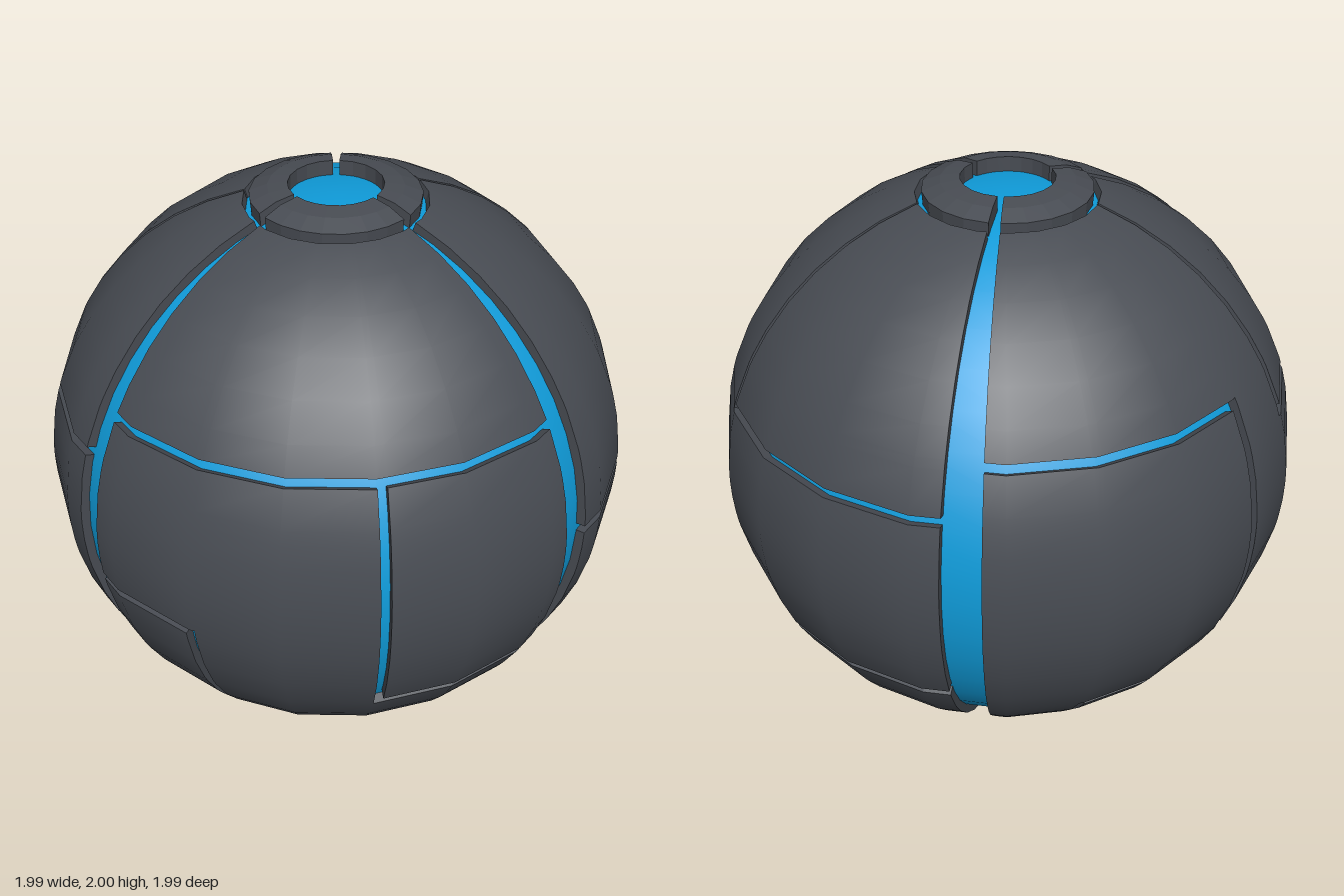
import * as THREE from 'three';

const R = 0.993, INNER = 0.955, STEP = 18;
const rad = THREE.MathUtils.degToRad;
const dark = new THREE.MeshStandardMaterial({ color: 0x484c53 });
const darkFlat = new THREE.MeshStandardMaterial({ color: 0x484c53, flatShading: true, side: THREE.DoubleSide });
const blue = new THREE.MeshStandardMaterial({ color: 0x0f9bd9 });

// Azimuth runs from +x towards +z, in degrees; the shell covers -60..300.
const TOP = 1.946, BOTTOM = 0.033;
const wide = [[60, 67], [168, 174.3], [292.3, 300]];
// Horizontal grooves: from azimuth, to azimuth, height
const level = [
  [-60, 1.7, 1.3], [16.3, 60, 1.022], [-60, 18, 0.565],
  [67, 168, 1.465], [67, 108, 0.567], [143, 168, 0.865],
  [174.3, 217, 1.3], [233, 292.3, 1.465], [174.3, 235, 0.565], [174.3, 271, 0.435],
];
// Upright grooves: from azimuth, to azimuth, low, high
const upright = [
  [0, 1.7, 1.3, TOP], [16.3, 18, BOTTOM, 1.022], [106, 108, 0.567, 1.465],
  [143, 145, BOTTOM, 0.865], [215.2, 217, 1.3, TOP], [233, 235, 0.565, 1.465],
  [269, 271, BOTTOM, 0.435],
];
const grooves = [
  ...wide.map(([a, b]) => [a, b, BOTTOM, TOP]),
  ...level.map(([a, b, y]) => [a, b, y - 0.014, y + 0.014]),
  ...upright.map(([a, b, lo, hi]) => [a, b, lo - (lo > BOTTOM ? 0.014 : 0), hi + (hi < TOP ? 0.014 : 0)]),
];

const sorted = (list) => [...new Set(list)].sort((a, b) => a - b);

// Point on a ball with a twenty-sided plan
function point(az, y) {
  const h = y - 1;
  const side = ((az % STEP) + STEP) % STEP - STEP / 2;
  const r = Math.sqrt(R * R - h * h) * Math.cos(rad(STEP / 2)) / Math.cos(rad(side));
  return new THREE.Vector3(r * Math.cos(rad(az)), h, r * Math.sin(rad(az)));
}

// Split the shell into cells along groove edges and separate it into panels
function makePanels() {
  const az = [-60, 300], ys = [TOP, BOTTOM];
  for (let a = -54; a < 300; a += STEP) az.push(a);
  for (let t = 18; t < 168; t += 7.5) ys.push(1 + R * Math.cos(rad(t)));
  for (const [a, b, lo, hi] of grooves) { az.push(a, b); ys.push(lo, hi); }
  const A = sorted(az), Y = sorted(ys).reverse();
  const nA = A.length - 1, nY = Y.length - 1;
  const solid = (i, j) => {
    if (i < 0 || j < 0 || i >= nA || j >= nY) return false;
    const a = (A[i] + A[i + 1]) / 2, y = (Y[j] + Y[j + 1]) / 2;
    return !grooves.some((g) => a > g[0] && a < g[1] && y > g[2] && y < g[3]);
  };

  const seen = new Set(), panels = new THREE.Group();
  panels.name = 'shellPanels';
  for (let i = 0; i < nA; i++) for (let j = 0; j < nY; j++) {
    if (!solid(i, j) || seen.has(i * nY + j)) continue;
    const pos = [], nor = [], queue = [[i, j]];
    seen.add(i * nY + j);
    const quad = (p, normals) => [0, 1, 2, 0, 2, 3].forEach((k) => {
      pos.push(p[k].x, p[k].y + 1, p[k].z);
      nor.push(...normals[k].toArray());
    });
    while (queue.length) {
      const [u, v] = queue.pop();
      const c = [point(A[u], Y[v]), point(A[u + 1], Y[v]), point(A[u + 1], Y[v + 1]), point(A[u], Y[v + 1])];
      quad(c, c.map((p) => p.clone().normalize()));
      // Neighbour across each edge: grow the panel, or close it with a wall
      [[u, v - 1], [u + 1, v], [u, v + 1], [u - 1, v]].forEach(([nu, nv], k) => {
        if (solid(nu, nv)) {
          if (!seen.has(nu * nY + nv)) { seen.add(nu * nY + nv); queue.push([nu, nv]); }
          return;
        }
        const p = c[k], q = c[(k + 1) % 4];
        const pi = p.clone().multiplyScalar(INNER / R), qi = q.clone().multiplyScalar(INNER / R);
        const n = pi.clone().sub(p).cross(q.clone().sub(p)).normalize();
        quad([p, pi, qi, q], [n, n, n, n]);
      });
    }
    const g = new THREE.BufferGeometry();
    g.setAttribute('position', new THREE.Float32BufferAttribute(pos, 3));
    g.setAttribute('normal', new THREE.Float32BufferAttribute(nor, 3));
    const mesh = new THREE.Mesh(g, dark);
    mesh.name = 'shellPanel' + (panels.children.length + 1);
    panels.add(mesh);
  }
  return panels;
}

// Pole ring in three arcs, parted by the wide grooves
function makeRing(name, profile) {
  const ring = new THREE.Group();
  ring.name = name;
  const pts = profile.map(([x, y]) => new THREE.Vector2(x, y));
  const section = new THREE.Shape(pts);
  for (const [a, b] of [[-60, 60], [67, 168], [174.3, 292.3]]) {
    const arc = new THREE.Mesh(
      new THREE.LatheGeometry([...pts, pts[0]], 7, rad(90 - b), rad(b - a)), darkFlat);
    arc.name = name + 'Arc';
    ring.add(arc);
    for (const end of [a, b]) {
      const cap = new THREE.Mesh(new THREE.ShapeGeometry(section).rotateY(-rad(end)), darkFlat);
      cap.name = name + 'End';
      ring.add(cap);
    }
  }
  return ring;
}

export function createModel() {
  const model = new THREE.Group();
  model.name = 'panelledBall';

  // Glowing core seen through the grooves
  const core = new THREE.Mesh(new THREE.SphereGeometry(0.963, 20, 24).translate(0, 1, 0), blue);
  core.name = 'core';
  model.add(core, makePanels());

  // Rings around the two poles
  model.add(makeRing('topRing', [[0.155, 1.93], [0.275, 1.9], [0.28, 1.967], [0.22, 1.991], [0.155, 2]]));
  model.add(makeRing('bottomRing', [[0.14, 0.07], [0.2, 0.08], [0.21, 0.022], [0.175, 0.006], [0.14, 0]]));
  return model;
}
